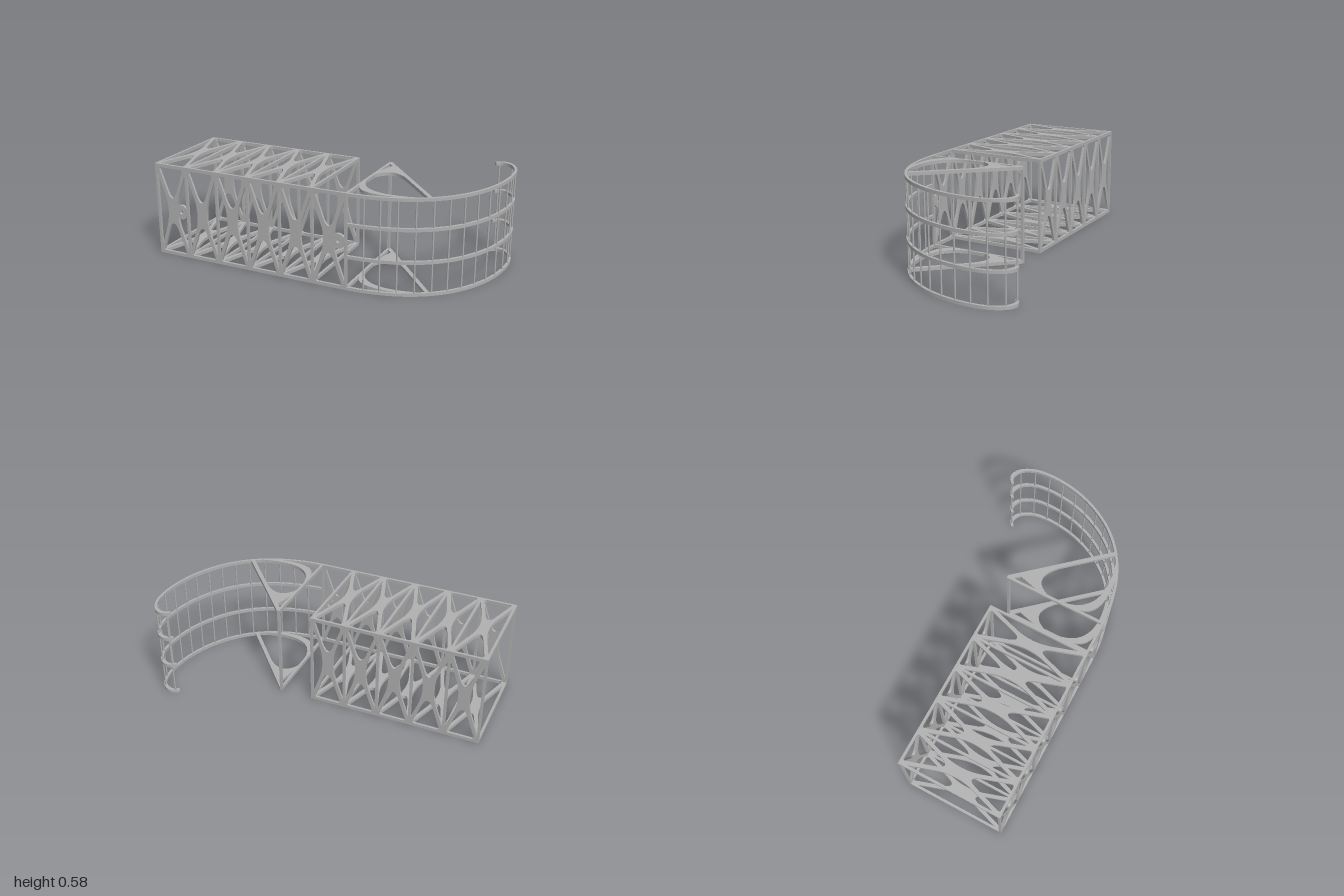
import * as THREE from 'three';
import { toCreasedNormals } from 'three/addons/utils/BufferGeometryUtils.js';

const H = 0.577, PITCH = 0.209, STRIP = 0.015, PLATE = 0.02;

export function createModel() {
  const model = new THREE.Group();
  model.name = 'trussFrame';
  const steel = new THREE.MeshStandardMaterial({ color: 0xb0b0b0 });
  steel.name = 'grey steel';

  function add(name, geometry, x = 0, y = 0, z = 0) {
    const mesh = new THREE.Mesh(geometry, steel);
    mesh.name = name;
    mesh.position.set(x, y, z);
    model.add(mesh);
    return mesh;
  }

  const extrude = (shape, depth) => toCreasedNormals(
    new THREE.ExtrudeGeometry(shape, { depth, bevelEnabled: false, curveSegments: 10 }), 0.5);
  // Plan shape (x, z) laid flat, with its top face at y = 0
  const flat = (shape, depth) => extrude(shape, depth).rotateX(Math.PI / 2);
  const polygon = (pts) => new THREE.Shape(pts.map(([x, y]) => new THREE.Vector2(x, y)));

  // Truss panel: a row of bays, each with four openings that leave a filleted X
  function trussPanel(bays, height, rail) {
    const right = -1 + bays * PITCH + STRIP;
    const panel = polygon([[-1, 0], [right, 0], [right, height], [-1, height]]);
    const a = (PITCH - STRIP) / 2, h = height / 2 - rail;
    const slope = a / h, half = 0.0117;
    const edgeX = (y) => slope * y + half;
    for (let i = 0; i < bays; i++) {
      const cx = -1 + STRIP / 2 + (i + 0.5) * PITCH, cy = height / 2;
      for (const s of [-1, 1]) {
        // Openings above and below the crossing
        const top = slope * h - half, low = 0.13, lowX = slope * low - half, r = 0.018;
        const hole = new THREE.Path();
        const m = (x, y) => [cx + x, cy + s * y];
        hole.moveTo(...m(-lowX, low));
        hole.lineTo(...m(-(top - r * slope), h - r));
        hole.quadraticCurveTo(...m(-top, h), ...m(-top + r, h));
        hole.lineTo(...m(top - r, h));
        hole.quadraticCurveTo(...m(top, h), ...m(top - r * slope, h - r));
        hole.lineTo(...m(lowX, low));
        hole.quadraticCurveTo(...m(0, half / slope), ...m(-lowX, low));
        panel.holes.push(hole);
        // Openings left and right of the crossing
        const tall = (a - half) / slope, bend = 0.12;
        const side = new THREE.Path();
        side.moveTo(cx + s * a, cy - tall);
        side.lineTo(cx + s * a, cy + tall);
        side.lineTo(cx + s * edgeX(bend), cy + bend);
        side.quadraticCurveTo(cx + s * half, cy, cx + s * edgeX(bend), cy - bend);
        side.lineTo(cx + s * a, cy - tall);
        panel.holes.push(side);
      }
    }
    return panel;
  }

  // Box truss: long front, shorter back, top and bottom
  const zBack = -0.167, zFront = 0.467;
  add('frontPanel', extrude(trussPanel(6, H, PLATE), STRIP), 0, 0, zFront - STRIP);
  add('backPanel', extrude(trussPanel(5, H, PLATE), STRIP), 0, 0, zBack);
  const deck = flat(trussPanel(5, zFront - zBack, STRIP), PLATE);
  add('topPanel', deck, 0, H, zBack);
  add('bottomPanel', deck, 0, PLATE, zBack);

  // Round lugs on the front panel
  const lug = new THREE.Shape().absarc(0, 0, 0.045, 0, Math.PI * 2);
  lug.holes.push(new THREE.Path().absarc(0, 0, 0.012, 0, Math.PI * 2, true));
  for (const x of [-0.827, 0.217]) add('lug', extrude(lug, STRIP + 0.002), x, 0.29, zFront - STRIP - 0.001);

  // Curved guard: plan path of the rods, ending in a small hook
  const rods = [[0.365, 0.452], [0.455, 0.436], [0.547, 0.41], [0.637, 0.371], [0.72, 0.32],
    [0.79, 0.26], [0.85, 0.19], [0.9, 0.11], [0.94, 0.025], [0.968, -0.065],
    [0.985, -0.16], [0.99, -0.255], [0.978, -0.35], [0.935, -0.43], [0.853, -0.451]];
  const path = [[0.265, 0.459], ...rods.slice(0, -1), [0.885, -0.457], [0.853, -0.451], [0.833, -0.434]];
  const curve = new THREE.CatmullRomCurve3(path.map(([x, z]) => new THREE.Vector3(x, 0, z)));
  const outer = [], inner = [], N = 110;
  for (let i = 0; i <= N; i++) {
    const t = i / N, p = curve.getPointAt(t), d = curve.getTangentAt(t);
    const w = 0.008 + 0.004 * Math.exp(-(((t - 0.95) / 0.03) ** 2));
    outer.push([p.x - d.z * w, p.z + d.x * w]);
    inner.unshift([p.x + d.z * w, p.z - d.x * w]);
  }
  const band = flat(polygon([...outer, ...inner]), 0.019);
  for (const y of [0.019, 0.211, 0.403, H]) add('guardBand', band, 0, y, 0);
  const rod = new THREE.CylinderGeometry(0.005, 0.005, H - 0.01, 10);
  for (const [x, z] of rods) add('guardRod', rod, x, H / 2, z);

  // Triangular brackets at top and bottom, joined by a post
  const beam = polygon([[0.257, -0.167], [0.274, -0.167], [0.705, 0.32], [0.687, 0.336], [0.257, -0.148]]);
  const cross = polygon([[0.257, -0.167], [0.273, -0.167], [0.273, 0.46], [0.257, 0.46]]);
  const gusset = new THREE.Shape();
  gusset.moveTo(0.304, -0.1);
  gusset.lineTo(0.46, 0.08);
  gusset.quadraticCurveTo(0.33, -0.045, 0.27, 0.1);
  gusset.lineTo(0.27, 0.03);
  const crescent = new THREE.Shape();
  crescent.moveTo(0.27, 0.17);
  crescent.bezierCurveTo(0.28, 0.36, 0.42, 0.425, 0.66, 0.355);
  crescent.lineTo(0.56, 0.403);
  crescent.bezierCurveTo(0.42, 0.42, 0.29, 0.42, 0.27, 0.29);
  const parts = { bracketBeam: beam, bracketStrip: cross, bracketGusset: gusset, bracketCrescent: crescent };
  for (const [name, shape] of Object.entries(parts)) {
    const geometry = flat(shape, PLATE);
    for (const y of [PLATE, H]) add(name, geometry, 0, y, 0);
  }
  add('bracketPost', new THREE.BoxGeometry(0.016, H - 0.01, 0.016), 0.265, H / 2, -0.159);

  return model;
}
